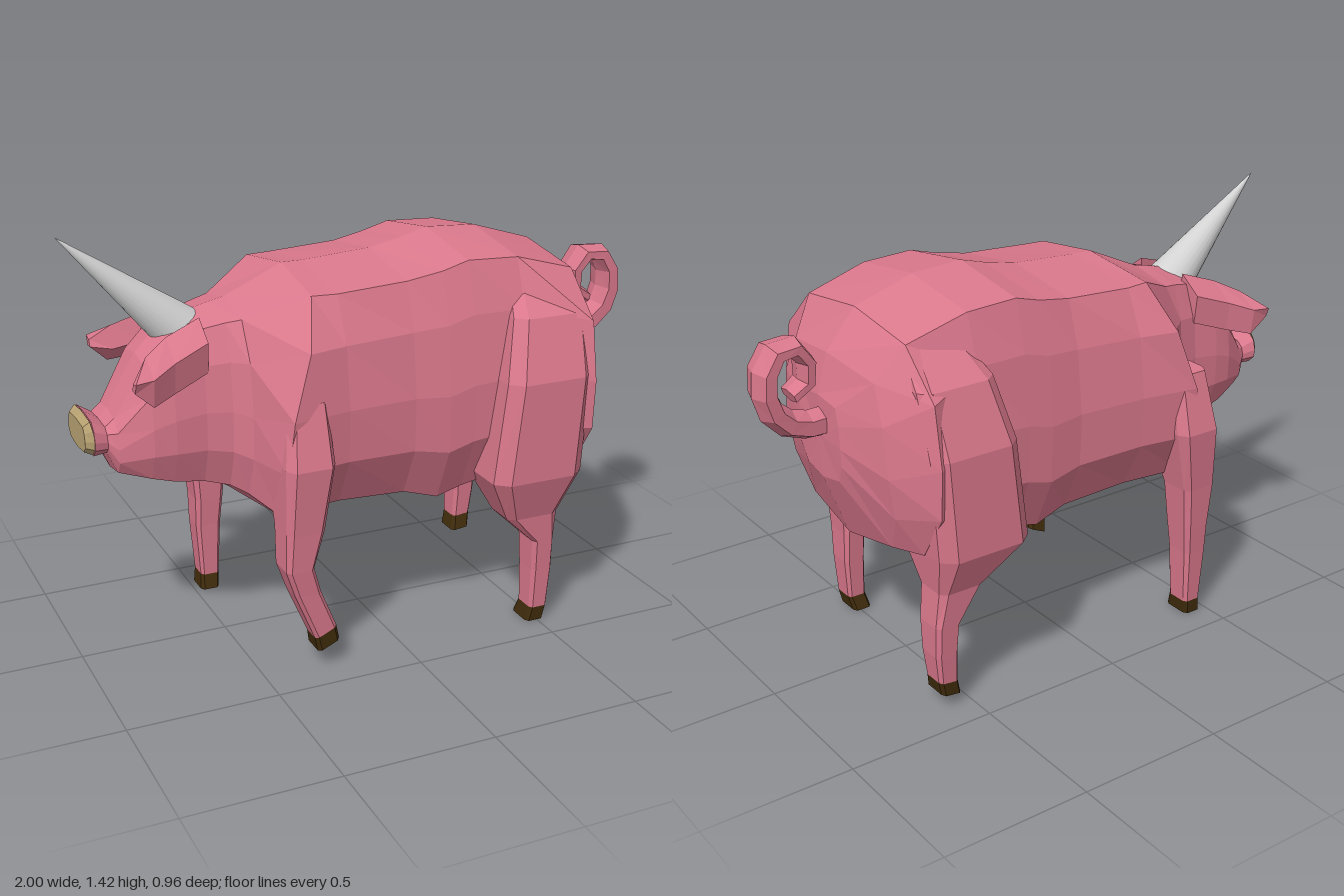
import * as THREE from 'three';

const mat = (name, color) => {
  const m = new THREE.MeshStandardMaterial({ color, flatShading: true });
  m.name = name;
  return m;
};

// Skin a list of equal-length rings of [x, y, z] points, closing both ends.
function loft(name, rings, material) {
  const pos = [];
  const n = rings[0].length;
  const centre = r => [0, 1, 2].map(k => r.reduce((s, p) => s + p[k], 0) / n);
  const tris = [];
  for (let i = 0; i < rings.length - 1; i++) {
    for (let j = 0; j < n; j++) {
      const k = (j + 1) % n;
      const a = rings[i][j], b = rings[i][k], c = rings[i + 1][k], d = rings[i + 1][j];
      tris.push([a, b, c], [a, c, d]);
    }
  }
  const first = rings[0], last = rings[rings.length - 1];
  const c0 = centre(first), c1 = centre(last);
  for (let j = 0; j < n; j++) {
    const k = (j + 1) % n;
    tris.push([c0, first[k], first[j]], [c1, last[j], last[k]]);
  }
  // Turn the faces outward whichever way the rings run
  let volume = 0;
  for (const [a, b, c] of tris) {
    volume += new THREE.Vector3(...a).dot(new THREE.Vector3(...b).cross(new THREE.Vector3(...c)));
  }
  for (const [a, b, c] of tris) pos.push(...a, ...(volume < 0 ? [...c, ...b] : [...b, ...c]));
  const g = new THREE.BufferGeometry();
  g.setAttribute('position', new THREE.Float32BufferAttribute(pos, 3));
  g.computeVertexNormals();
  const mesh = new THREE.Mesh(g, material);
  mesh.name = name;
  return mesh;
}

// Mirrored twelve-sided body section; xAt may bend the section along the body
function section([x, top, zTop, zMid, bot], xAt = () => x) {
  const h = top - bot;
  const half = [
    [top, 0], [top - 0.05 * h, zTop], [top - 0.24 * h, zMid * 0.93], [top - 0.5 * h, zMid],
    [bot + 0.28 * h, zMid * 0.98], [bot + 0.07 * h, zMid * 0.76], [bot, 0],
  ];
  const other = half.slice(1, -1).reverse().map(([y, z]) => [y, -z]);
  return [...half, ...other].map(([y, z]) => [xAt(y, z), y, z]);
}

// Chamfered leg section around a centre, optionally sloped for a raised foot
function legRing(y, x, width, z, depth, slope = 0) {
  const outline = [[-0.36, -0.5], [0.36, -0.5], [0.5, -0.36], [0.5, 0.36]];
  return [...outline, ...outline.map(([u, v]) => [-u, -v])]
    .map(([u, v]) => [x + u * width, y + slope * u * width, z + v * depth]);
}

// Leg: wide haunch rings (y, x, width, z, depth), then a shin (y, x, width) and a hoof
function leg(name, side, haunch, shift, shin, slope, hoofShift, skin, hoof) {
  const group = new THREE.Group();
  group.name = name;
  const upper = haunch.map(([y, x, w, z, d]) => legRing(y, x + shift, w, z * side, d));
  const lower = shin.map(([y, x, w], i) =>
    legRing(y, x, w, side * 0.358, 0.14 - 0.016 * i, i === shin.length - 1 ? slope : 0));
  const [y, x, w] = shin[shin.length - 1];
  const sole = legRing(y - 0.051, x + hoofShift, w, side * 0.348, 0.105, slope);
  group.add(loft(name + 'Skin', [...upper, ...lower], skin));
  group.add(loft(name + 'Hoof', [lower[lower.length - 1], sole], hoof));
  return group;
}

export function createModel() {
  const model = new THREE.Group();
  model.name = 'hornedPig';
  const pink = mat('pink skin', 0xda788c);
  const brown = mat('brown hoof', 0x402c0c);
  const beige = mat('beige snout', 0xb8a272);
  const grey = mat('pale grey horn', 0xd2d2d2);
  grey.flatShading = false;

  // Head and body sections: x, top, top half width, half width, bottom
  const head = [
    [-0.945, 0.858, 0.09, 0.125, 0.732],
    [-0.9, 0.83, 0.08, 0.11, 0.735],
    [-0.87, 0.86, 0.08, 0.13, 0.66],
    [-0.77, 1.03, 0.11, 0.175, 0.62],
    [-0.7, 1.1, 0.12, 0.185, 0.595],
    [-0.6, 1.145, 0.13, 0.185, 0.575],
    [-0.52, 1.165, 0.15, 0.205, 0.55],
    [-0.47, 1.175, 0.165, 0.25, 0.52],
  ].map(s => section(s));
  const trunk = [
    [-0.2, 1.265, 0.29, 0.385, 0.48],
    [0.04, 1.28, 0.29, 0.365, 0.46],
    [0.16, 1.305, 0.3, 0.375, 0.42],
    [0.25, 1.33, 0.3, 0.375, 0.445],
    [0.43, 1.32, 0.3, 0.38, 0.48],
    [0.64, 1.255, 0.29, 0.475, 0.5],
  ].map(s => section(s));
  // The shoulder section leans forward, the rump sections are domed
  const shoulderBend = y => Math.max(-0.42, -0.27 - 0.33 * (1.265 - y));
  const rumpBend = (y, z) => 0.795 - 0.73 * (y - 0.87) ** 2 - 0.6 * z * z;
  model.add(loft('body', [
    ...head,
    section([-0.27, 1.265, 0.28, 0.42, 0.48], shoulderBend),
    ...trunk,
    section([0.7, 1.13, 0.24, 0.32, 0.5], rumpBend),
    section([0.78, 1.0, 0.1, 0.13, 0.72], rumpBend),
  ], pink));

  // Snout disc
  model.add(loft('snout', [
    section([-0.97, 0.84, 0.08, 0.1, 0.745]),
    section([-0.944, 0.86, 0.09, 0.122, 0.731], y => -0.95 + 0.1 * (0.86 - y)),
  ], beige));

  // Ears: x, upper edge y and z, lower edge y and z
  for (const side of [1, -1]) {
    const rings = [
      [-0.59, 1.15, 0.11, 0.99, 0.18], [-0.71, 1.11, 0.14, 0.95, 0.215],
      [-0.79, 1.07, 0.185, 0.93, 0.255], [-0.85, 1.01, 0.245, 0.985, 0.265],
    ].map(([x, y1, z1, y2, z2]) => [
      [x, y1, z1 * side], [x, (y1 + y2) / 2 + 0.02, (z2 + 0.012) * side],
      [x, y2, z2 * side], [x, (y1 + y2) / 2 - 0.01, (z1 - 0.01) * side],
    ]);
    model.add(loft(side > 0 ? 'earNear' : 'earFar', rings, pink));
  }

  // Horn, rooted in the brow
  const base = new THREE.Vector3(-0.605, 1.07, 0);
  const axis = new THREE.Vector3(-1, 1.422, 0).sub(base);
  const horn = new THREE.Mesh(new THREE.ConeGeometry(0.087, axis.length(), 24), grey);
  horn.name = 'horn';
  horn.position.copy(base).addScaledVector(axis, 0.5);
  horn.quaternion.setFromUnitVectors(new THREE.Vector3(0, 1, 0), axis.clone().normalize());
  model.add(horn);

  // Legs in a walking pose
  const shoulder = [[0.92, -0.34, 0.13, 0.29, 0.22], [0.72, -0.348, 0.165, 0.325, 0.25]];
  const thigh = [
    [1.2, 0.52, 0.2, 0.19, 0.22], [1.1, 0.51, 0.27, 0.3, 0.23],
    [0.9, 0.485, 0.31, 0.34, 0.28], [0.56, 0.452, 0.33, 0.34, 0.28],
  ];
  const frontNear = [[0.5, -0.365, 0.13], [0.37, -0.383, 0.095], [0.28, -0.355, 0.09], [0.13, -0.293, 0.075]];
  const frontFar = [[0.5, -0.435, 0.13], [0.35, -0.435, 0.1], [0.25, -0.44, 0.09], [0.053, -0.438, 0.067]];
  const backNear = [[0.41, 0.455, 0.19], [0.31, 0.505, 0.08], [0.2, 0.507, 0.077], [0.055, 0.502, 0.067]];
  const backFar = [[0.43, 0.54, 0.16], [0.31, 0.588, 0.087], [0.2, 0.59, 0.08], [0.098, 0.583, 0.07]];
  model.add(
    leg('frontLegNear', 1, shoulder, 0, frontNear, 0.45, 0.012, pink, brown),
    leg('frontLegFar', -1, shoulder, -0.06, frontFar, 0, -0.007, pink, brown),
    leg('backLegNear', 1, thigh, 0, backNear, 0, -0.011, pink, brown),
    leg('backLegFar', -1, thigh, 0.02, backFar, 0.12, -0.012, pink, brown),
  );

  // Curly tail: six-sided rings swept along a spiral
  const curl = new THREE.CatmullRomCurve3([
    [0.76, 0.91], [0.85, 0.915], [0.93, 0.96], [0.968, 1.06], [0.945, 1.155],
    [0.89, 1.185], [0.835, 1.155], [0.82, 1.08], [0.84, 1.035], [0.88, 1.02],
  ].map(([x, y]) => new THREE.Vector3(x, y, 0)));
  const tail = [];
  for (let i = 0; i <= 10; i++) {
    const t = i / 10, p = curl.getPointAt(t), d = curl.getTangentAt(t);
    const rn = 0.05 - 0.028 * t, rz = 0.05 + 0.022 * Math.sin(Math.PI * t);
    tail.push(Array.from({ length: 6 }, (_, j) => {
      const a = (j + 0.5) * Math.PI / 3, u = Math.sin(a) * rn;
      return [p.x - d.y * u, p.y + d.x * u, Math.cos(a) * rz];
    }));
  }
  model.add(loft('tail', tail, pink));
  return model;
}
